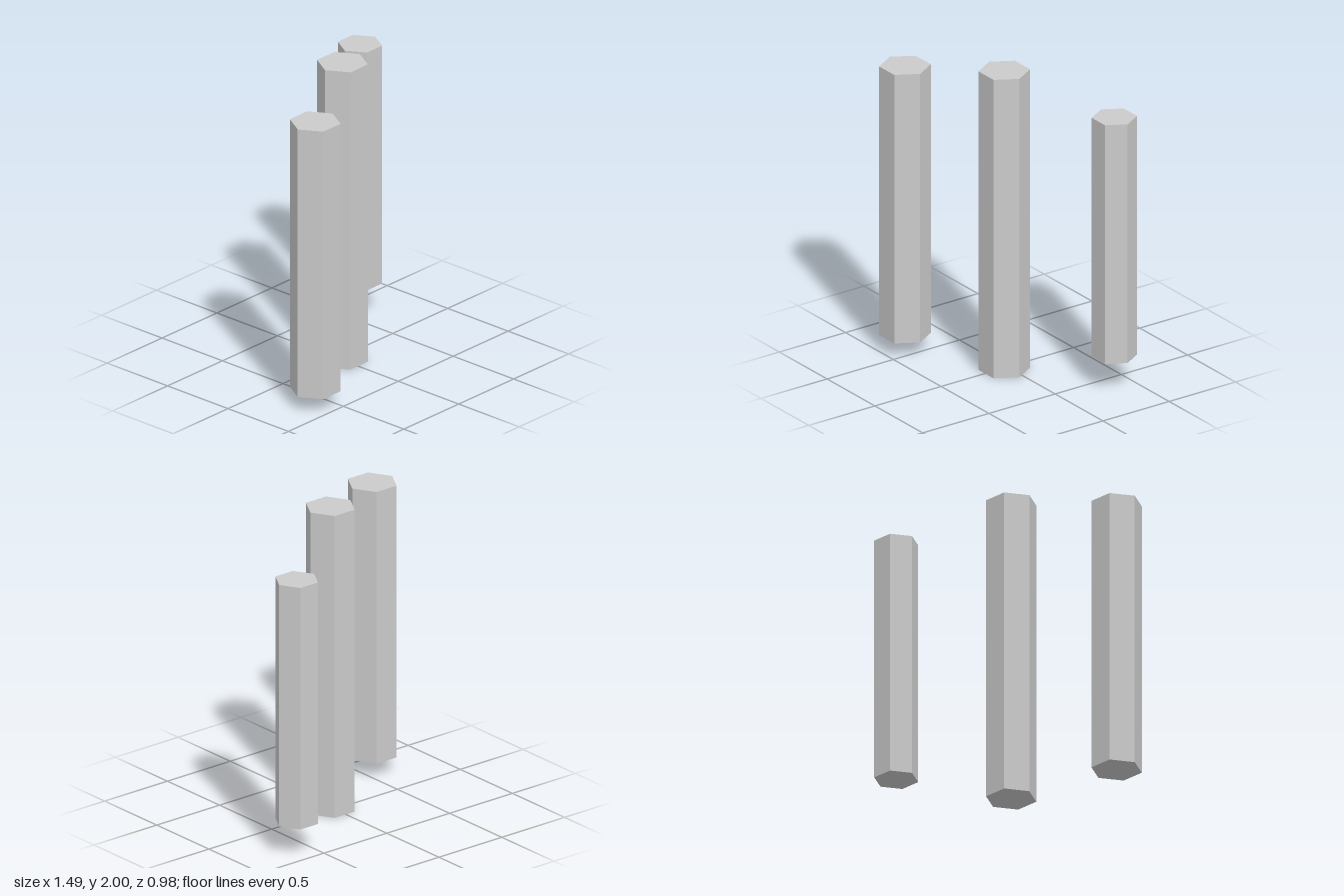
import * as THREE from 'three';

export function createModel() {
  const group = new THREE.Group();
  const material = new THREE.MeshStandardMaterial({ color: 0xcccccc, flatShading: true });

  // Upright hexagonal prism with corners pointing along x, centred at mid height
  function addColumn(name, x, z, radius, height) {
    const geometry = new THREE.CylinderGeometry(radius, radius, height, 6, 1, false, Math.PI / 6);
    const column = new THREE.Mesh(geometry, material);
    column.name = name;
    column.position.set(x, 1, z);
    group.add(column);
  }

  // Three columns in a diagonal row
  addColumn('rightColumn', -0.589, 0.348, 0.159, 1.8);
  addColumn('middleColumn', 0.009, 0.03, 0.159, 2);
  addColumn('leftColumn', 0.608, -0.369, 0.139, 1.6);

  return group;
}
